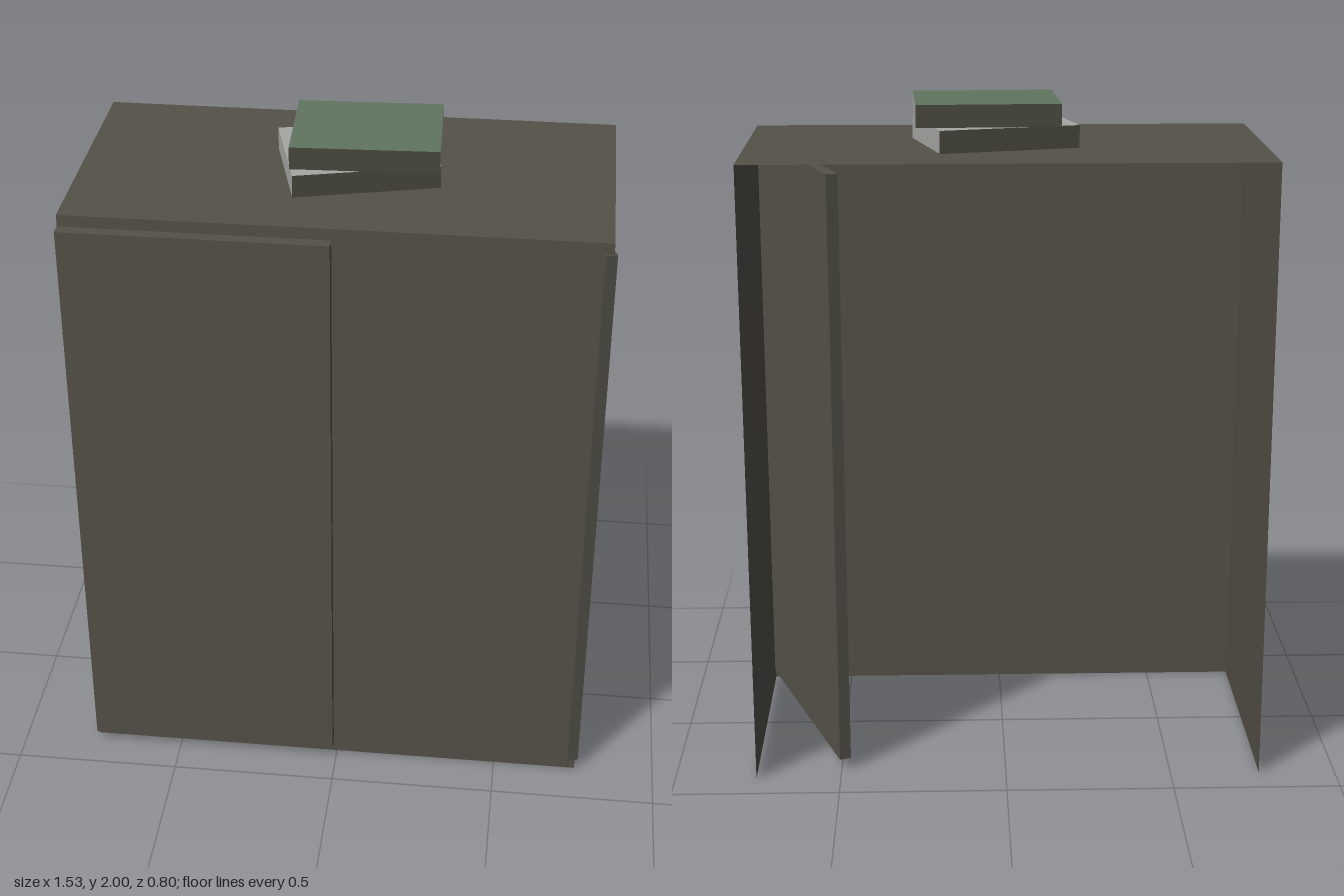
import * as THREE from 'three';

export function createModel() {
  const group = new THREE.Group();
  const mat = (name, color, side = THREE.FrontSide) =>
    new THREE.MeshStandardMaterial({ name, color, side });
  const cabinet = mat('cabinet grey brown', 0x545148, THREE.DoubleSide);
  const cover = mat('book cover brown', 0x4c4a3f);
  const pages = mat('page grey', 0xa6a7a4);
  const green = mat('cover green', 0x60755f);

  const add = (name, geometry, material, x, y, z) => {
    const mesh = new THREE.Mesh(geometry, material);
    mesh.name = name;
    mesh.position.set(x, y, z);
    group.add(mesh);
    return mesh;
  };

  // Thin cabinet shell, open at the back and underneath
  const W = 1.525, H = 1.865, D = 0.765, cx = -0.0075, cz = -0.0175;
  const sheet = (name, w, h, x, y, z, rx, ry) =>
    add(name, new THREE.PlaneGeometry(w, h), cabinet, x, y, z).rotation.set(rx, ry, 0);
  sheet('cabinetFront', W, H, cx, H / 2, cz + D / 2, 0, 0);
  sheet('cabinetTop', W, D, cx, H, cz, -Math.PI / 2, 0);
  for (const s of [-1, 1]) {
    sheet(s > 0 ? 'leftWall' : 'rightWall', D, H, cx + s * W / 2, H / 2, cz, 0, s * Math.PI / 2);
  }

  // Two equal doors: one flat on the front, one swung inside
  const doorGeo = new THREE.BoxGeometry(0.76, 1.795, 0.035);
  add('closedDoor', doorGeo, cabinet, -0.39, 0.9325, 0.3825);
  const swing = THREE.MathUtils.degToRad(70);
  add('swungDoor', doorGeo, cabinet,
    0.748 - 0.38 * Math.cos(swing), 0.9325, 0.369 - 0.38 * Math.sin(swing)).rotation.y = -swing;

  // Two books stacked askew; ends show pages, long sides show covers
  const book = (name, x, y, z, turn, top) =>
    add(name, new THREE.BoxGeometry(0.42, 0.066, 0.323),
      [pages, pages, top, pages, cover, cover], x, y, z).rotation.y = turn;
  book('lowerBook', 0.0225, 1.899, -0.02, 0.255, pages);
  book('upperBook', 0.05, 1.967, -0.018, 0.04, green);

  return group;
}
